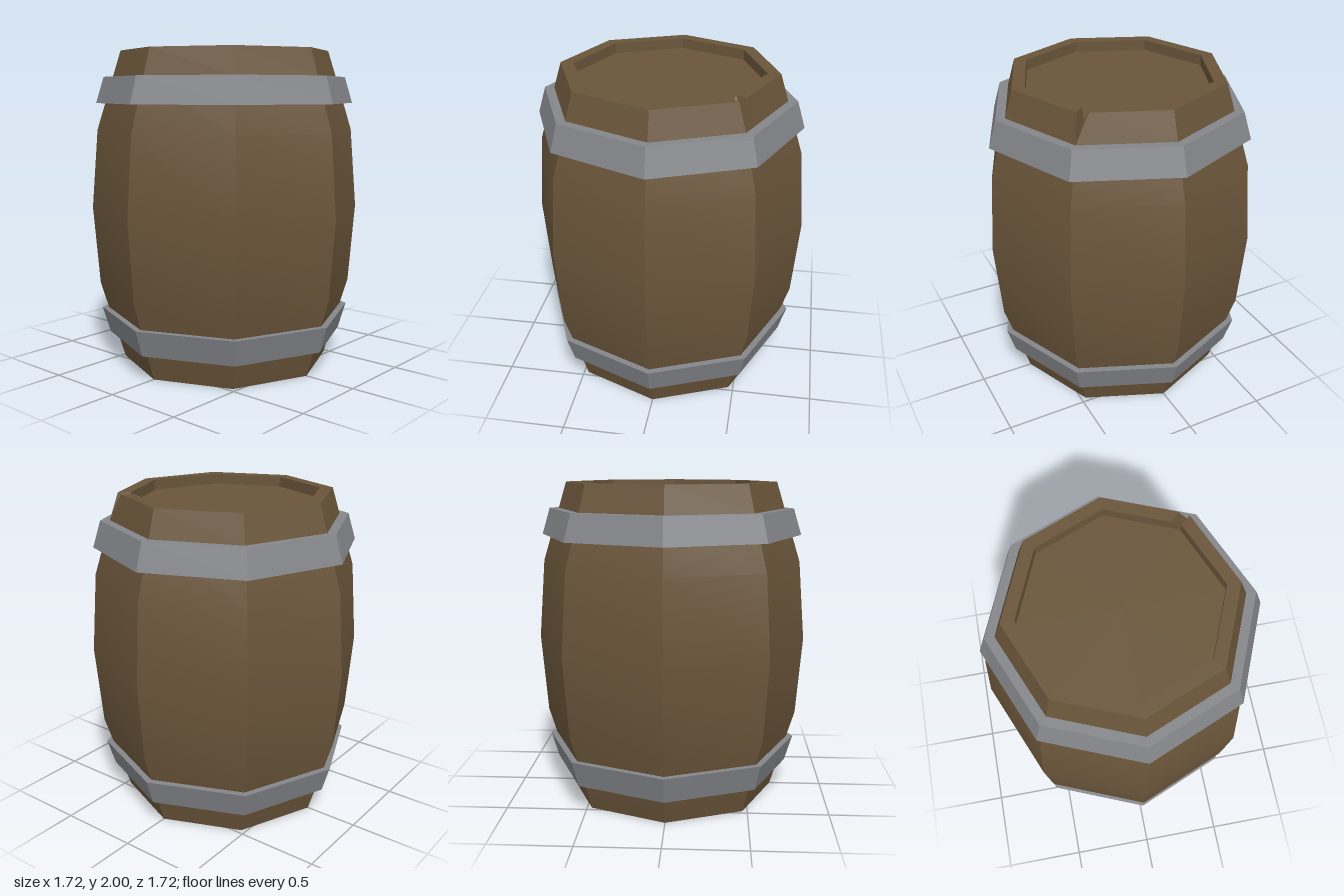
import * as THREE from 'three';
import { toCreasedNormals } from 'three/addons/utils/BufferGeometryUtils.js';

const SIDES = 8;

// Barrel cross-section (radius, height): bottom lid, rim, bulging stave, rim, top lid
const PROFILE = [
  [0, 0.065], [0.585, 0.065], [0.585, 0], [0.665, 0],
  [0.82, 0.5], [0.86, 1], [0.82, 1.5], [0.716, 1.835],
  [0.665, 2], [0.585, 2], [0.585, 1.935], [0, 1.935],
];
const TIP_OUT = 7, RIM_OUT = 8, RIM_IN = 9, TIP_IN = 10;

// Profile points standing at one corner of the octagon
function column(k) {
  const a = (k / SIDES) * Math.PI * 2;
  return PROFILE.map(([r, y]) => new THREE.Vector3(r * Math.cos(a), y, r * Math.sin(a)));
}

// Column whose rim corners slide along the edge, opening a notch
function notchColumn(k, towards, t) {
  const col = column(k), other = column(towards);
  for (const j of [RIM_OUT, RIM_IN]) col[j].lerp(other[j], t);
  return col;
}

function barrelGeometry() {
  const pos = [];
  const tri = (a, b, c) => {
    if (new THREE.Triangle(a, b, c).getArea() > 1e-7) {
      for (const p of [a, b, c]) pos.push(p.x, p.y, p.z);
    }
  };
  const quad = (a, b, c, d) => { tri(a, b, c); tri(a, c, d); };

  const notchA = notchColumn(1, 0, 0.11);
  const notchB = notchColumn(1, 2, 0.025);

  // Staves, rims and lids, one side at a time
  for (let k = 0; k < SIDES; k++) {
    const a = k === 1 ? notchB : column(k);
    const b = k === 0 ? notchA : column(k + 1);
    for (let j = 0; j < PROFILE.length - 1; j++) quad(a[j], a[j + 1], b[j + 1], b[j]);
  }

  // The two walls of the notch
  quad(notchA[TIP_OUT], notchA[RIM_OUT], notchA[RIM_IN], notchA[TIP_IN]);
  quad(notchB[TIP_IN], notchB[RIM_IN], notchB[RIM_OUT], notchB[TIP_OUT]);

  const g = new THREE.BufferGeometry();
  g.setAttribute('position', new THREE.Float32BufferAttribute(pos, 3));
  // Smooth along each stave, sharp between staves
  return toCreasedNormals(g, Math.PI / 7);
}

// Sloped metal band with a closed cross-section
function hoopGeometry(y0, y1, outer0, outer1, inner0, inner1) {
  const pts = [[inner0, y0], [outer0, y0], [outer1, y1], [inner1, y1], [inner0, y0]];
  return new THREE.LatheGeometry(pts.map(([r, y]) => new THREE.Vector2(r, y)), SIDES);
}

export function createModel() {
  const group = new THREE.Group();
  group.name = 'barrel';
  const wood = new THREE.MeshStandardMaterial({ color: 0x6a553a });
  const metal = new THREE.MeshStandardMaterial({ color: 0x84868a, flatShading: true });

  const add = (name, geometry, material) => {
    const mesh = new THREE.Mesh(geometry, material);
    mesh.name = name;
    group.add(mesh);
  };
  add('woodenBody', barrelGeometry(), wood);
  add('upperHoop', hoopGeometry(1.67, 1.835, 0.825, 0.775, 0.75, 0.7), metal);
  add('lowerHoop', hoopGeometry(0.17, 0.335, 0.76, 0.81, 0.7, 0.75), metal);
  return group;
}
